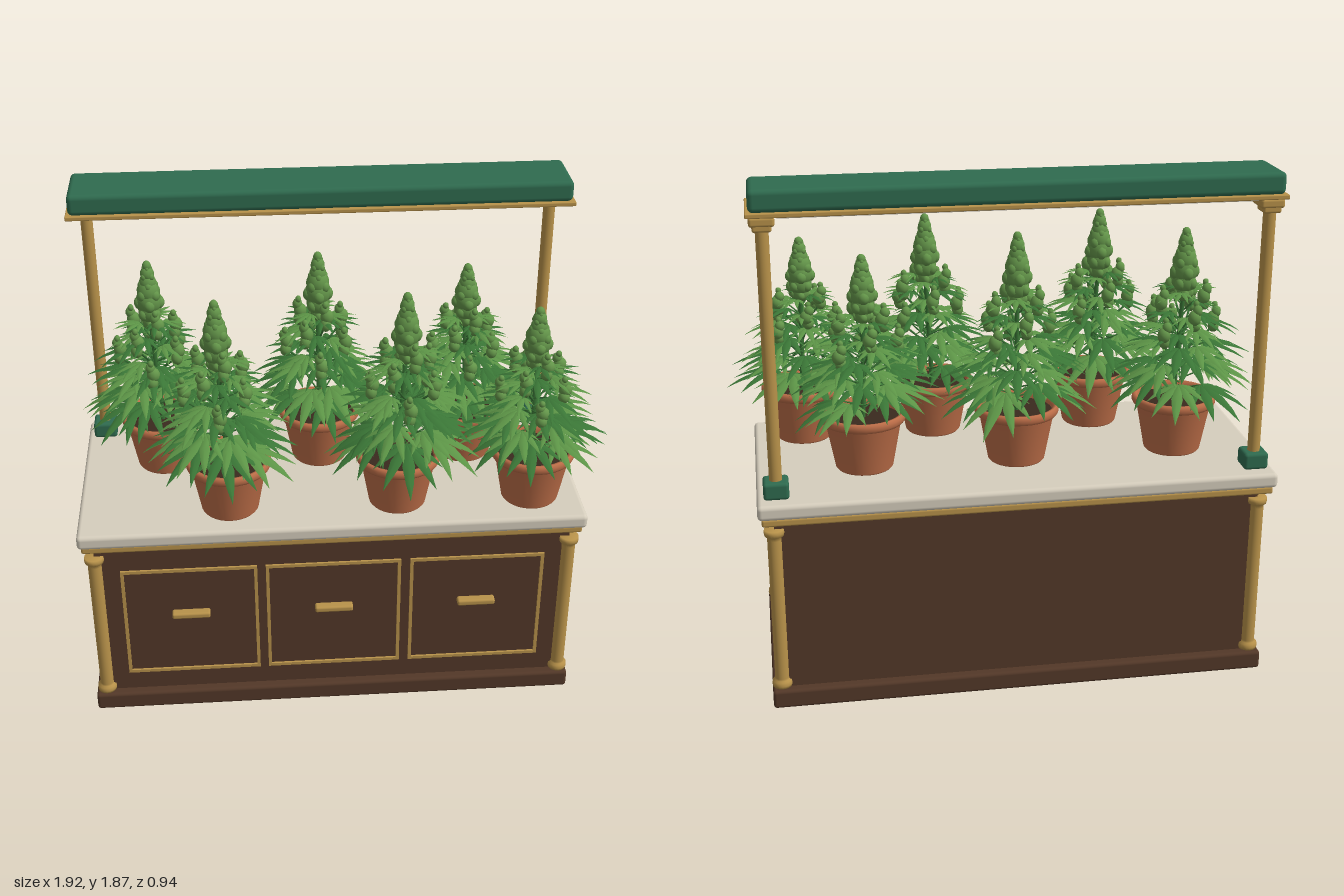
import * as THREE from 'three';
import { mergeGeometries } from 'three/addons/utils/BufferGeometryUtils.js';
import { RoundedBoxGeometry } from 'three/addons/geometries/RoundedBoxGeometry.js';

const material = (name, color, side = THREE.FrontSide) =>
  Object.assign(new THREE.MeshStandardMaterial({ color, side }), { name });

export function createModel() {
  const wood = material('dark wood', 0x533828);
  const gold = material('brass', 0xb8924a);
  const stone = material('pale stone', 0xd6cebd);
  const green = material('green enamel', 0x2f6b4f);
  const lamp = material('lamp panel', 0xb9b5aa);
  const clay = material('terracotta', 0xbd6e48);
  const soil = material('soil', 0x3a2a1e);
  const leafDark = material('dark leaf', 0x3a7636, THREE.DoubleSide);
  const leafLight = material('light leaf', 0x5c9446, THREE.DoubleSide);
  const budGreen = material('bud green', 0x64964a);

  let seed = 7;
  const rand = () => (seed = (seed * 16807) % 2147483647) / 2147483647;
  const vary = (a) => (rand() * 2 - 1) * a;

  const model = new THREE.Group();
  model.name = 'planterCabinet';
  const add = (name, geometry, mat, parent = model) => {
    const mesh = new THREE.Mesh(geometry, mat);
    mesh.name = name;
    parent.add(mesh);
    return mesh;
  };
  // Box given by its limits; r rounds the edges
  const block = (name, mat, x0, x1, y0, y1, z0, z1, r = 0) => {
    const w = x1 - x0, h = y1 - y0, d = z1 - z0;
    const geo = r ? new RoundedBoxGeometry(w, h, d, 3, r) : new THREE.BoxGeometry(w, h, d);
    add(name, geo, mat).position.set((x0 + x1) / 2, (y0 + y1) / 2, (z0 + z1) / 2);
  };

  // Cabinet
  block('plinth', wood, -0.965, 0.835, 0, 0.07, -0.445, 0.335, 0.012);
  block('cabinetBody', wood, -0.925, 0.8, 0.07, 0.72, -0.41, 0.3);
  block('counterTrim', gold, -0.965, 0.84, 0.717, 0.745, -0.455, 0.325, 0.008);
  block('counterTop', stone, -0.977, 0.853, 0.745, 0.8, -0.47, 0.342, 0.016);

  // Corner columns with a foot and a capital
  const columnProfile = [[0, 0.075], [0.034, 0.075], [0.036, 0.085], [0.034, 0.098], [0.026, 0.102],
    [0.025, 0.11], [0.025, 0.65], [0.026, 0.662], [0.034, 0.667], [0.036, 0.678], [0.034, 0.69], [0, 0.69]]
    .map(([r, y]) => new THREE.Vector2(r, y));
  for (const x of [-0.925, 0.8]) for (const z of [-0.405, 0.298])
    add('cornerColumn', new THREE.LatheGeometry(columnProfile, 20), gold).position.set(x, 0, z);

  // Rectangular bead frame drawn around the origin in the xy plane
  const frame = (w, h, t = 0.012) => {
    const rect = (P, a, b) => new P().moveTo(-a, -b).lineTo(a, -b).lineTo(a, b).lineTo(-a, b).closePath();
    const shape = rect(THREE.Shape, w / 2, h / 2);
    shape.holes.push(rect(THREE.Path, w / 2 - t, h / 2 - t));
    return new THREE.ExtrudeGeometry(shape, { depth: 0.009, bevelEnabled: false });
  };
  // Drawers and side panel
  for (const x of [-0.59, -0.064, 0.465]) {
    add('drawerFrame', frame(0.495, 0.47), gold).position.set(x, 0.385, 0.299);
    block('drawerHandle', gold, x - 0.07, x + 0.07, 0.413, 0.437, 0.299, 0.335, 0.008);
  }
  const side = add('sideFrame', frame(0.59, 0.46), gold);
  side.rotation.y = Math.PI / 2;
  side.position.set(0.799, 0.385, -0.058);

  // Light canopy on two posts
  for (const x of [-0.908, 0.785]) {
    block('postFoot', green, x - 0.044, x + 0.044, 0.8, 0.862, -0.422, -0.334, 0.012);
    add('post', new THREE.CylinderGeometry(0.022, 0.022, 0.92, 20), gold).position.set(x, 1.3, -0.38);
    block('postCollar', gold, x - 0.032, x + 0.032, 1.728, 1.755, -0.412, -0.34, 0.008);
    block('postBracket', gold, x - 0.042, x + 0.042, 1.745, 1.778, -0.415, -0.308, 0.01);
  }
  block('canopyTrim', gold, -0.962, 0.837, 1.776, 1.792, -0.421, -0.178, 0.004);
  block('lampPanel', lamp, -0.86, 0.735, 1.77, 1.777, -0.4, -0.2);
  block('canopyHood', green, -0.952, 0.827, 1.79, 1.866, -0.414, -0.184, 0.018);

  // Palmate leaf growing along +z: seven folded, drooping leaflets
  const leaf = (length) => {
    const pos = [], idx = [];
    const rows = [[0, 0.08], [0.2, 0.6], [0.45, 1], [0.75, 0.6], [1, 0]];
    for (let k = -3; k <= 3; k++) {
      const a = k * 0.5, len = length * [1, 0.9, 0.68, 0.42][Math.abs(k)];
      const base = pos.length / 3;
      rows.forEach(([t, w], i) => {
        for (const s of [-1, 0, 1]) {
          const u = s * w * len * 0.105, v = t * len;
          pos.push(Math.sin(a) * v + Math.cos(a) * u,
            (s ? 0 : 0.05 * w * len) - 0.3 * t * t * len,
            Math.cos(a) * v - Math.sin(a) * u);
        }
        if (i) for (const c of [0, 1]) {
          const p = base + i * 3 - 3 + c;
          idx.push(p, p + 3, p + 1, p + 1, p + 3, p + 4);
        }
      });
    }
    const geo = new THREE.BufferGeometry();
    geo.setAttribute('position', new THREE.Float32BufferAttribute(pos, 3));
    geo.setIndex(idx);
    geo.computeVertexNormals();
    return geo;
  };

  const blob = (x, y, z, r, stretch = 1.2) =>
    new THREE.SphereGeometry(r, 10, 7).scale(1, stretch, 1).translate(x, y, z);
  const twig = (a, b, r) => new THREE.TubeGeometry(new THREE.LineCurve3(a, b), 1, r, 5);

  const potProfile = [[0, 0], [0.098, 0], [0.103, 0.006], [0.134, 0.172], [0.146, 0.176], [0.152, 0.186],
    [0.152, 0.2], [0.146, 0.21], [0.136, 0.208], [0.13, 0.195], [0.126, 0.17]]
    .map(([r, y]) => new THREE.Vector2(r, y));
  // Leaf tiers: height, stalk length, leaflet length, pitch, count
  const tiers = [[0.09, 0.1, 0.2, 0.12, 7], [0.15, 0.09, 0.185, 0.06, 7], [0.21, 0.08, 0.165, 0, 7],
    [0.27, 0.07, 0.14, -0.05, 6], [0.33, 0.055, 0.115, -0.12, 6], [0.39, 0.04, 0.095, -0.2, 5]];

  const plant = (x, z, height, lean) => {
    const group = new THREE.Group();
    group.name = 'pottedPlant';
    group.position.set(x, 0.8, z);
    model.add(group);
    add('pot', new THREE.LatheGeometry(potProfile, 32), clay, group);
    add('soil', new THREE.CylinderGeometry(0.13, 0.13, 0.01, 24), soil, group).position.y = 0.18;

    const top = new THREE.Group();
    top.name = 'plant';
    top.position.set(lean, 0.2, 0);
    top.scale.y = height / 0.635;
    group.add(top);

    // Foliage
    const leaves = [[], []], buds = [];
    const stems = [twig(new THREE.Vector3(-lean, -0.02, 0), new THREE.Vector3(0, 0.42, 0), 0.009)];
    tiers.forEach(([y, stalk, length, pitch, count], tier) => {
      for (let i = 0; i < count; i++) {
        const yaw = (i + tier * 0.45) / count * Math.PI * 2 + vary(0.2);
        const h = y + vary(0.025);
        const tip = new THREE.Vector3(Math.sin(yaw) * stalk, h, Math.cos(yaw) * stalk);
        stems.push(twig(new THREE.Vector3(0, h - 0.04, 0), tip, 0.003));
        leaves[(i + tier) % 2].push(leaf(length * (1 + vary(0.1)))
          .rotateX(pitch + vary(0.12)).rotateY(yaw).translate(tip.x, tip.y, tip.z));
      }
    });

    // Main flower spike
    [[0.4, 0.032], [0.44, 0.042], [0.48, 0.047], [0.515, 0.042], [0.55, 0.031], [0.585, 0.025], [0.615, 0.016]]
      .forEach(([y, r], i) => {
        buds.push(blob(0, y, 0, r));
        for (let k = 0; k < 4; k++) {
          const a = k * Math.PI / 2 + i * 0.8;
          buds.push(blob(Math.sin(a) * r * 0.72, y - 0.008, Math.cos(a) * r * 0.72, r * 0.45));
        }
      });

    // Smaller side buds on branches
    for (let i = 0; i < 9; i++) {
      const a = i * 2.4, r = 0.14 - i * 0.009, y = 0.22 + i * 0.02;
      const bx = Math.sin(a) * r, bz = Math.cos(a) * r;
      stems.push(twig(new THREE.Vector3(0, y - 0.1, 0), new THREE.Vector3(bx, y, bz), 0.004));
      [[0, 0.021], [0.028, 0.024], [0.055, 0.018], [0.078, 0.011]].forEach(([dy, br], k) =>
        buds.push(blob(bx + Math.sin(k * 2) * 0.006, y + dy, bz + Math.cos(k * 2) * 0.006, br)));
    }
    add('darkLeaves', mergeGeometries(leaves[0]), leafDark, top);
    add('lightLeaves', mergeGeometries(leaves[1]), leafLight, top);
    add('stems', mergeGeometries(stems), leafDark, top);
    add('flowerBuds', mergeGeometries(buds), budGreen, top);
  };

  // Back row, then front row: x, z, height above the rim, lean
  [[-0.67, -0.155, 0.63, -0.02], [-0.085, -0.165, 0.64, 0], [0.465, -0.155, 0.58, -0.01],
    [-0.43, 0.175, 0.63, -0.025], [0.178, 0.175, 0.635, 0.02], [0.665, 0.18, 0.565, -0.01]]
    .forEach((p) => plant(...p));

  return model;
}
